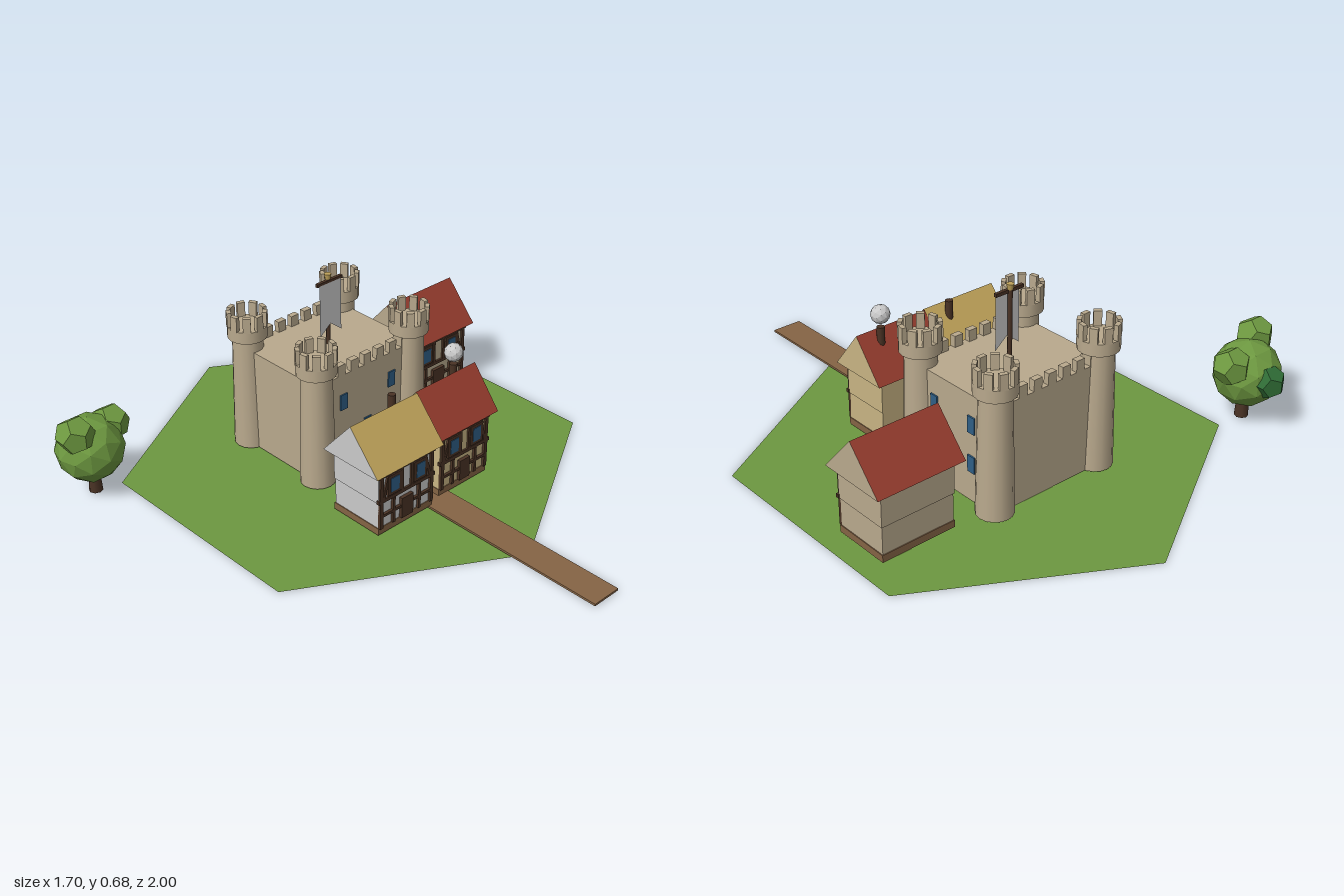
import * as THREE from 'three';

const mat = (name, color, extra = {}) => {
  const m = new THREE.MeshStandardMaterial({ color, ...extra });
  m.name = name;
  return m;
};

export function createModel() {
  const grass = mat('grass green', 0x6d9840, { side: THREE.DoubleSide, flatShading: true });
  const stone = mat('stone', 0xb9a98d);
  const white = mat('white plaster', 0xcacaca, { side: THREE.DoubleSide, flatShading: true });
  const cream = mat('cream plaster', 0xc8b483);
  const earth = mat('earth brown', 0x856445);
  const timber = mat('dark timber', 0x4a3325);
  const red = mat('red tiles', 0x963c2e);
  const straw = mat('straw', 0xc0a35a);
  const glass = mat('blue glass', 0x2f5f86);
  const leaf = mat('dark leaf', 0x2f6b35, { flatShading: true });

  const model = new THREE.Group();
  model.name = 'castleVillage';

  const add = (parent, name, geo, material, x = 0, y = 0, z = 0) => {
    const m = new THREE.Mesh(geo, material);
    m.name = name;
    m.position.set(x, y, z);
    parent.add(m);
    return m;
  };
  const box = (parent, name, material, w, h, d, x, y, z) =>
    add(parent, name, new THREE.BoxGeometry(w, h, d), material, x, y, z);
  const group = (name, x = 0, y = 0, z = 0, parent = model) => {
    const g = new THREE.Group();
    g.name = name;
    g.position.set(x, y, z);
    parent.add(g);
    return g;
  };

  // Hexagonal meadow and the road across it
  const hex = new THREE.CircleGeometry(0.84, 6, Math.PI / 2).rotateX(-Math.PI / 2);
  add(model, 'meadow', hex, grass, 0.12, 0, -0.16);
  box(model, 'road', earth, 0.115, 0.008, 1.09, 0.118, 0.009, 0.455);

  // Castle keep
  const castle = group('castle', 0.118, 0.011, -0.29);
  box(castle, 'keep', stone, 0.475, 0.39, 0.4, 0, 0.195, 0);
  for (const s of [-1, 1]) {
    for (let i = -3; i <= 3; i++) {
      box(castle, 'merlon', stone, 0.034, 0.042, 0.022, i * 0.061, 0.41, s * 0.189);
    }
  }
  box(castle, 'gate', timber, 0.065, 0.11, 0.012, 0, 0.055, 0.202);
  const windowSpots = [[-0.115, 0.284], [0.115, 0.284], [0, 0.145]];
  for (const [x, y] of windowSpots) {
    box(castle, 'frontWindow', glass, 0.032, 0.06, 0.008, x, y, 0.201);
  }
  for (const z of [-0.09, 0.09]) for (const y of [0.14, 0.284]) {
    box(castle, 'sideWindow', glass, 0.008, 0.06, 0.032, 0.239, y, z);
  }

  // Corner towers with battlements
  for (const sx of [-1, 1]) for (const sz of [-1, 1]) {
    const tower = group('tower', sx * 0.22, 0, sz * 0.18, castle);
    add(tower, 'shaft', new THREE.CylinderGeometry(0.055, 0.064, 0.44, 16), stone, 0, 0.22, 0);
    add(tower, 'collar', new THREE.CylinderGeometry(0.072, 0.072, 0.045, 16), stone, 0, 0.457, 0);
    for (let i = 0; i < 9; i++) {
      const a = (i / 9) * Math.PI * 2;
      const t = box(tower, 'towerMerlon', stone, 0.028, 0.056, 0.016,
        Math.sin(a) * 0.064, 0.506, Math.cos(a) * 0.064);
      t.rotation.y = a;
    }
  }

  // Banner on its pole
  const banner = group('banner', 0, 0, 0, castle);
  add(banner, 'pole', new THREE.CylinderGeometry(0.008, 0.008, 0.27, 8), timber, 0, 0.515, 0);
  box(banner, 'crossbar', timber, 0.115, 0.012, 0.012, 0, 0.638, 0.006);
  add(banner, 'finial', new THREE.CylinderGeometry(0.013, 0.01, 0.02, 8), straw, 0, 0.654, 0);
  const cloth = new THREE.Shape([[-0.05, 0.635], [-0.05, 0.435], [0, 0.475], [0.05, 0.435], [0.05, 0.635]]
    .map(p => new THREE.Vector2(...p)));
  add(banner, 'cloth', new THREE.ShapeGeometry(cloth), white, 0, 0, 0.013);

  // Half-timbered houses, with all the framing on the front
  function house(name, x, z, width, depth, wall, roof) {
    const g = group(name, x, 0.011, z);
    const w = width - 0.06, d = depth - 0.052, f = d / 2, k = w / 0.27;
    box(g, 'base', earth, w + 0.006, 0.026, d + 0.006, 0, 0.013, 0);
    box(g, 'lowerWalls', wall, w, 0.1, d, 0, 0.076, 0);
    box(g, 'upperWalls', wall, w + 0.006, 0.12, d + 0.006, 0, 0.186, 0);

    const gable = new THREE.Shape([[-depth / 2, 0.244], [depth / 2, 0.244], [0, 0.391]]
      .map(p => new THREE.Vector2(...p)));
    const roofGeo = new THREE.ExtrudeGeometry(gable, { depth: width, bevelEnabled: false });
    roofGeo.translate(0, 0, -width / 2).rotateY(Math.PI / 2);
    add(g, 'roof', roofGeo, [wall, roof]);

    const beam = (bw, bh, bx, by) => box(g, 'beam', timber, bw, bh, 0.012, bx, by, f + 0.004);
    beam(w + 0.016, 0.013, 0, 0.232);
    beam(w + 0.016, 0.013, 0, 0.134);
    beam(w, 0.01, 0, 0.074);
    box(g, 'door', timber, 0.058 * k, 0.08, 0.018, 0, 0.066, f + 0.004);
    for (const s of [-1, 1]) {
      beam(0.014, 0.21, s * (w / 2 - 0.007), 0.13);
      beam(0.011, 0.1, s * 0.065 * k, 0.076);
      beam(0.01, 0.1, s * 0.024 * k, 0.183);
      box(g, 'windowFrame', timber, 0.062, 0.078, 0.016, s * 0.065 * k, 0.184, f + 0.004);
      box(g, 'windowPane', glass, 0.038, 0.054, 0.008, s * 0.065 * k, 0.184, f + 0.01);
      const brace = beam(0.01, 0.09, s * 0.106 * k, 0.18);
      brace.rotation.z = s * 0.25;
    }
    return g;
  }
  house('strawHouse', -0.0525, 0.167, 0.309, 0.26, white, straw);
  house('redHouse', 0.2475, 0.16, 0.291, 0.235, cream, red);
  house('stoneHouse', 0.63, -0.346, 0.337, 0.26, stone, red);

  // Chimneys, one with a puff of smoke
  for (const x of [0.014, 0.31]) {
    add(model, 'chimney', new THREE.CylinderGeometry(0.014, 0.014, 0.09, 8), timber, x, 0.375, 0.135);
  }
  add(model, 'smoke', new THREE.IcosahedronGeometry(0.034, 1), white, 0.308, 0.465, 0.137);

  // Tree
  const tree = group('tree', -0.705, 0.011, -0.595);
  add(tree, 'trunk', new THREE.CylinderGeometry(0.019, 0.025, 0.1, 8), timber, 0, 0.05, 0);
  add(tree, 'crown', new THREE.IcosahedronGeometry(0.122, 1), grass, -0.003, 0.175, -0.005);
  add(tree, 'leafClump', new THREE.DodecahedronGeometry(0.069), grass, -0.079, 0.276, 0.035);
  add(tree, 'leafClump', new THREE.DodecahedronGeometry(0.069), grass, 0.092, 0.232, -0.012);
  add(tree, 'darkClump', new THREE.DodecahedronGeometry(0.06), leaf, 0.005, 0.18, -0.107);

  return model;
}
